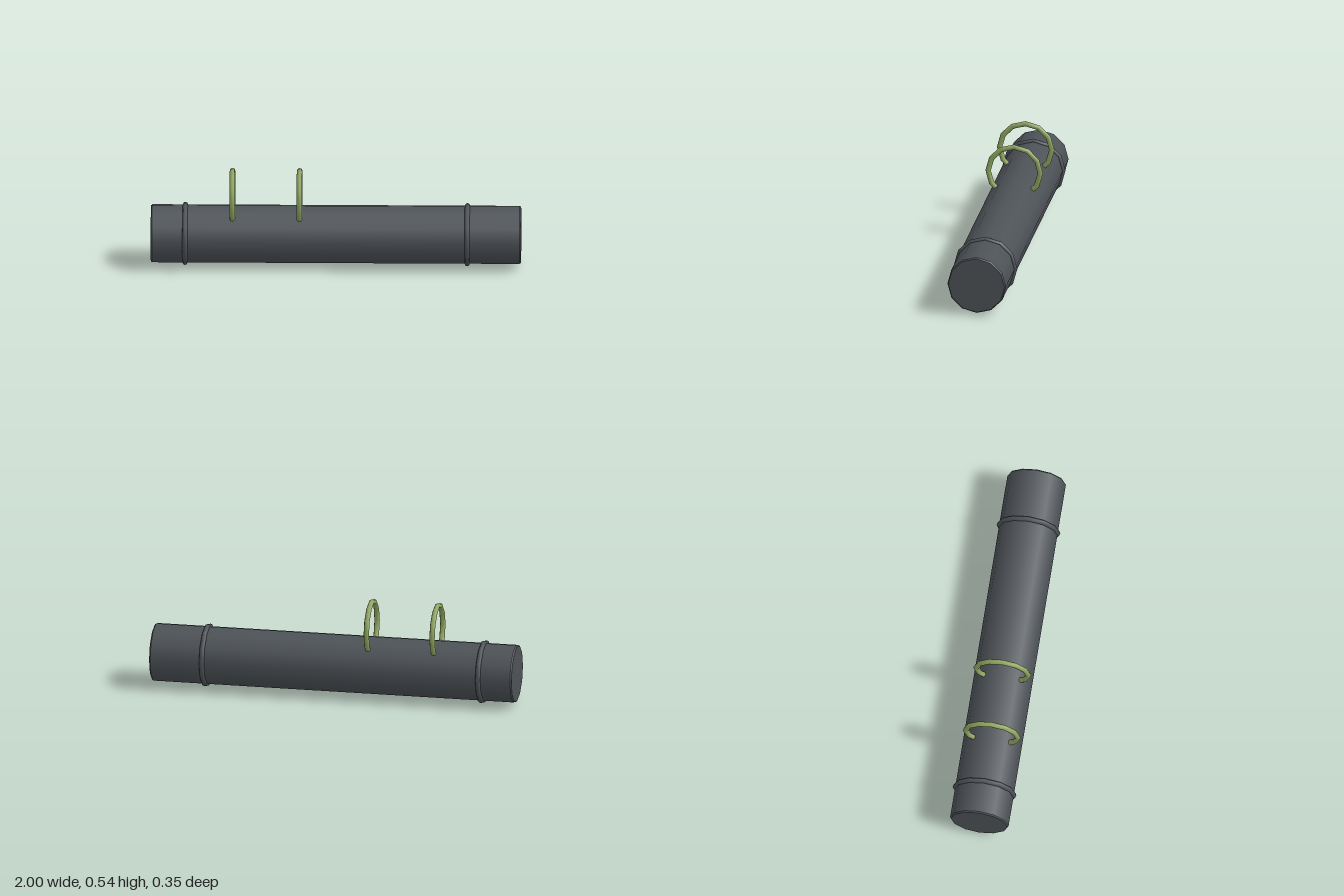
import * as THREE from 'three';

const AXIS_Y = 0.175; // height of the tube's centre line
const SIDES = 12;

export function createModel() {
  const model = new THREE.Group();
  const darkGrey = new THREE.MeshStandardMaterial({ color: 0x4d5257 });
  const oliveGreen = new THREE.MeshStandardMaterial({ color: 0x8fa561 });

  const add = (name, geometry, material, x, y) => {
    const mesh = new THREE.Mesh(geometry, material);
    mesh.name = name;
    mesh.position.set(x, y, 0);
    model.add(mesh);
  };

  // Twelve-sided ring standing across the x axis
  const ring = (radius, tube) =>
    new THREE.TorusGeometry(radius, tube, 8, SIDES).rotateY(Math.PI / 2);

  // Main tube with small bevels; repeated points keep the edges sharp
  const profile = [
    [0, -1], [0.154, -1], [0.154, -1],
    [0.16, -0.993], [0.16, -0.993],
    [0.16, 0.993], [0.16, 0.993],
    [0.154, 1], [0.154, 1], [0, 1],
  ].map(([r, h]) => new THREE.Vector2(r, h));
  const tube = new THREE.LatheGeometry(profile, SIDES).rotateZ(-Math.PI / 2);
  add('mainTube', tube, darkGrey, 0, AXIS_Y);

  // Raised collars near both ends
  add('rightCollar', ring(0.16, 0.014), darkGrey, -0.815, AXIS_Y);
  add('leftCollar', ring(0.16, 0.014), darkGrey, 0.71, AXIS_Y);

  // Mounting hoops sunk into the top of the tube
  add('rightHoop', ring(0.143, 0.0148), oliveGreen, -0.56, 0.387);
  add('leftHoop', ring(0.143, 0.0148), oliveGreen, -0.197, 0.387);

  return model;
}
